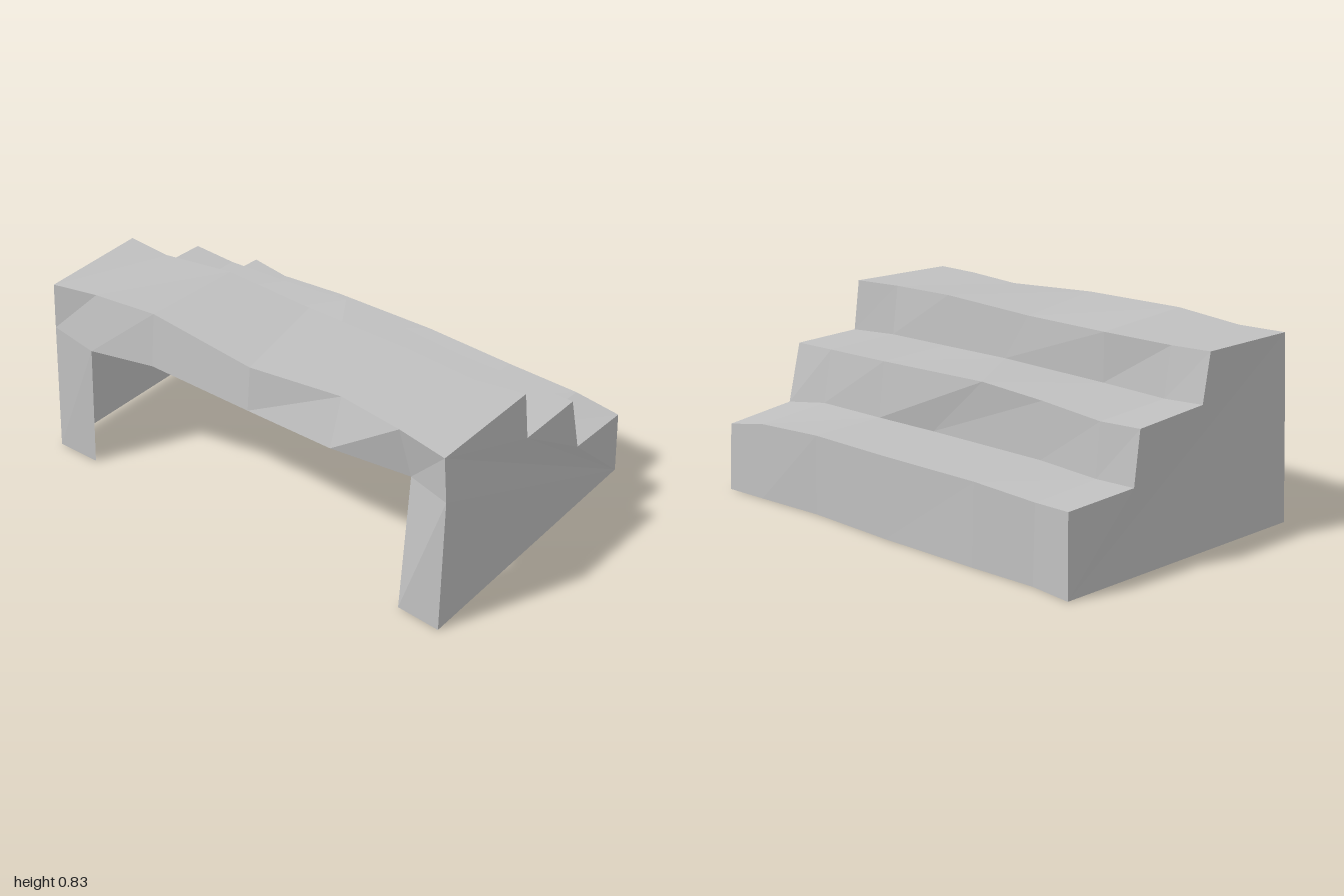
import * as THREE from 'three';

// Lines running the length of the stair, seven points each [x, y, z], front to back
const Z = [0.99, 0.78, 0.45, 0.02, -0.47, -0.78, -0.98];
const line = (xs, ys, zs = {}) => xs.map((x, i) => [x, ys[i], zs[i] ?? Z[i]]);

const lines = {
  foot: line([-0.655, -0.64, -0.64, -0.65, -0.64, -0.65, -0.65], [0, 0, 0, 0, 0, 0, 0], { 1: 0.79, 5: -0.8, 6: -1 }),
  beam: line([-0.63, -0.56, -0.63, -0.65, -0.615, -0.645, -0.635], [0.59, 0.575, 0.6, 0.62, 0.595, 0.56, 0.59], { 3: 0.06, 6: -0.99 }),
  topBack: line([-0.635, -0.6, -0.56, -0.63, -0.59, -0.595, -0.635], [0.79, 0.8, 0.8, 0.81, 0.83, 0.805, 0.8], { 0: 0.98, 1: 0.75, 3: 0.06 }),
  topNose: line([-0.12, -0.16, -0.15, -0.135, -0.12, -0.165, -0.16], [0.8, 0.8, 0.81, 0.8, 0.805, 0.795, 0.805], { 3: -0.04 }),
  midBack: line([-0.09, -0.13, -0.13, -0.12, -0.12, -0.13, -0.12], [0.58, 0.585, 0.59, 0.6, 0.595, 0.585, 0.6], { 3: 0.08 }),
  midNose: line([0.235, 0.235, 0.23, 0.25, 0.24, 0.25, 0.25], [0.575, 0.58, 0.585, 0.61, 0.59, 0.57, 0.58], { 3: -0.15 }),
  lowBack: line([0.3, 0.28, 0.26, 0.235, 0.25, 0.27, 0.28], [0.32, 0.35, 0.345, 0.34, 0.35, 0.345, 0.355], { 3: 0.15 }),
  lowNose: line([0.635, 0.625, 0.615, 0.63, 0.62, 0.61, 0.63], [0.29, 0.325, 0.34, 0.345, 0.345, 0.33, 0.34], { 0: 0.98, 6: -0.965 }),
  base: line([0.65, 0.64, 0.62, 0.635, 0.63, 0.62, 0.645], [0, 0, 0, 0, 0, 0, 0], { 0: 0.98, 6: -0.98 }),
};

function facets(points) {
  const g = new THREE.BufferGeometry();
  g.setAttribute('position', new THREE.Float32BufferAttribute(points.flat(), 3));
  g.computeVertexNormals();
  return g;
}

// Quads between two neighbouring lines, from row start to row end
function strip(a, b, start = 0, end = 6) {
  const p = [];
  for (let i = start; i < end; i++) {
    p.push(a[i], b[i], a[i + 1], b[i], b[i + 1], a[i + 1]);
  }
  return facets(p);
}

// Stepped wall closing one end
function endWall(row, dir) {
  const outline = Object.values(lines).map((l) => l[row]);
  const flat = outline.map(([x, y]) => new THREE.Vector2(x, y));
  const p = [];
  for (const [i, j, k] of THREE.ShapeUtils.triangulateShape(flat, [])) {
    const area = THREE.ShapeUtils.area([flat[i], flat[j], flat[k]]);
    p.push(...(area * dir > 0 ? [i, j, k] : [i, k, j]).map((n) => outline[n]));
  }
  return facets(p);
}

export function createModel() {
  const group = new THREE.Group();
  const stone = new THREE.MeshStandardMaterial({ color: 0xc0c0c0 });
  stone.name = 'grey stone';
  stone.flatShading = true;
  stone.side = THREE.DoubleSide;
  const add = (name, geometry) => {
    const mesh = new THREE.Mesh(geometry, stone);
    mesh.name = name;
    group.add(mesh);
  };
  const L = lines;

  // Treads and risers
  add('rearBeam', strip(L.beam, L.topBack));
  add('topTread', strip(L.topBack, L.topNose));
  add('topRiser', strip(L.topNose, L.midBack));
  add('middleTread', strip(L.midBack, L.midNose));
  add('middleRiser', strip(L.midNose, L.lowBack));
  add('lowTread', strip(L.lowBack, L.lowNose));
  add('lowRiser', strip(L.lowNose, L.base));

  // Narrow legs either side of the open rear
  add('frontLeg', strip(L.foot, L.beam, 0, 1));
  add('backLeg', strip(L.foot, L.beam, 5, 6));

  // End walls
  add('frontWall', endWall(0, 1));
  add('backWall', endWall(6, -1));
  return group;
}
